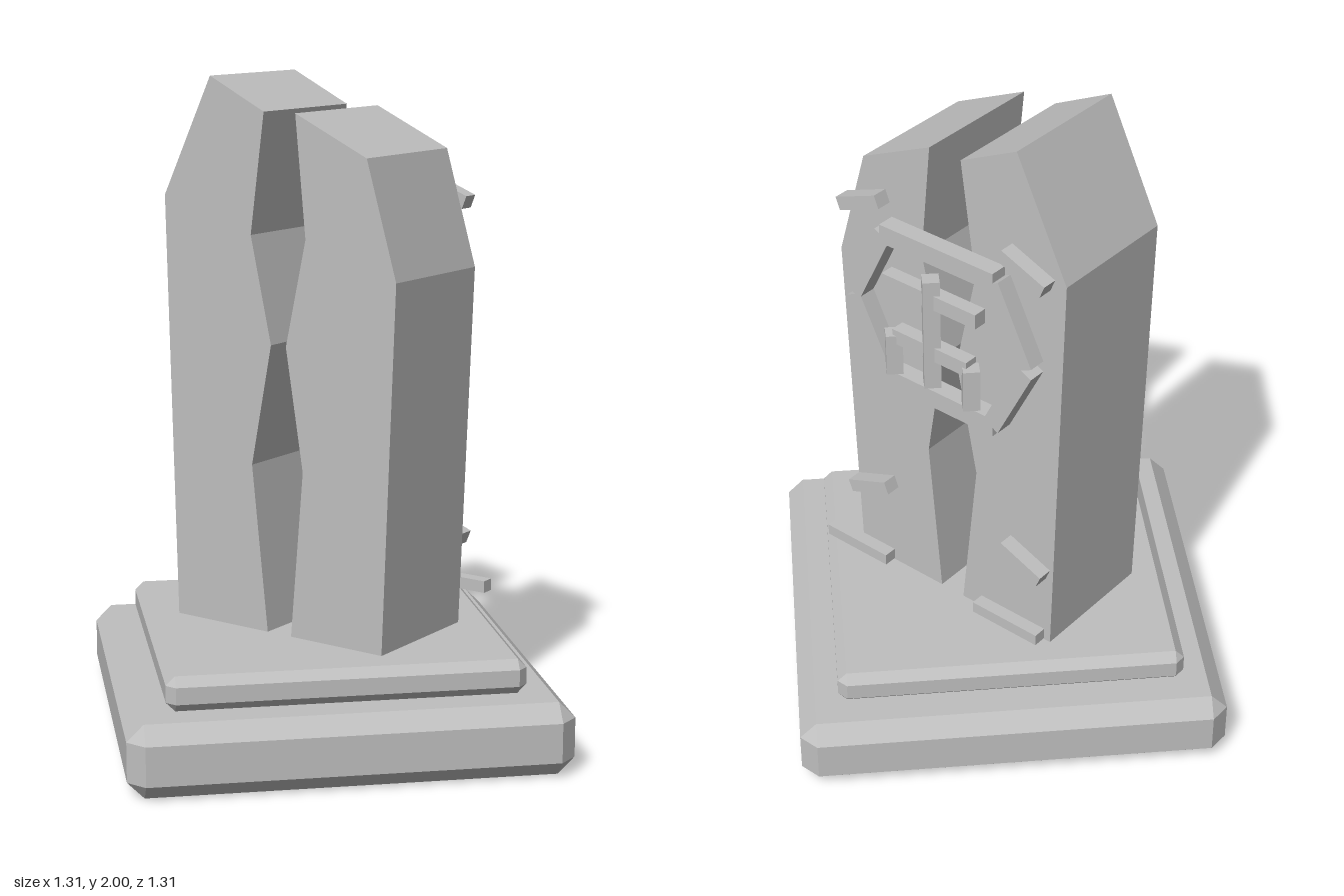
import * as THREE from 'three';
import { ConvexGeometry } from 'three/addons/geometries/ConvexGeometry.js';

export function createModel() {
  const stone = new THREE.MeshStandardMaterial({ color: 0xbfbfbf });
  stone.name = 'grey stone';
  const model = new THREE.Group();
  model.name = 'splitMonument';

  const add = (parent, name, geometry, x = 0, y = 0, z = 0) => {
    const mesh = new THREE.Mesh(geometry, stone);
    mesh.name = name;
    mesh.position.set(x, y, z);
    parent.add(mesh);
    return mesh;
  };

  // Square block with all edges chamfered
  const chamferedBlock = (half, halfHeight, c) => {
    const points = [];
    for (const sx of [-1, 1]) for (const sy of [-1, 1]) for (const sz of [-1, 1])
      for (const [a, b, d] of [[0, c, c], [c, 0, c], [c, c, 0]])
        points.push(new THREE.Vector3(sx * (half - a), sy * (halfHeight - b), sz * (half - d)));
    return new ConvexGeometry(points);
  };

  // Stepped plinth
  add(model, 'plinthBase', chamferedBlock(0.655, 0.11, 0.05), 0, 0.11, 0);
  add(model, 'plinthStep', chamferedBlock(0.532, 0.0525, 0.027), 0, 0.2725, 0);

  // Everything above the plinth is turned so the emblem faces the back corner
  const monument = new THREE.Group();
  monument.name = 'monument';
  monument.rotation.y = THREE.MathUtils.degToRad(135);
  model.add(monument);

  // Two stone halves with a jagged split between them
  const depth = 0.424;
  const slab = (name, outline) => {
    const shape = new THREE.Shape(outline.map(([x, y]) => new THREE.Vector2(x, y)));
    const geometry = new THREE.ExtrudeGeometry(shape, { depth, bevelEnabled: false });
    add(monument, name, geometry, 0, 0, -depth / 2);
  };
  slab('tallSlab', [
    [0.39, 0.31], [0.426, 1.637], [0.248, 2.0], [0.05, 1.902],
    [0.1, 1.537], [0.027, 1.213], [0.1, 0.84], [0.042, 0.31],
  ]);
  slab('shortSlab', [
    [-0.374, 0.31], [-0.418, 1.436], [-0.315, 1.785], [-0.064, 1.902],
    [-0.1, 1.537], [-0.028, 1.213], [-0.089, 0.84], [-0.043, 0.31],
  ]);

  // Hexagonal frame made of six bars
  const frame = new THREE.Group();
  frame.name = 'hexagonFrame';
  frame.position.set(0, 1.343, 0.242);
  monument.add(frame);
  for (const sy of [-1, 1]) {
    add(frame, 'frameBar', new THREE.BoxGeometry(0.42, 0.06, 0.056), 0, sy * 0.25, 0);
    for (const sx of [-1, 1]) {
      const side = add(frame, 'frameSideBar', new THREE.BoxGeometry(0.27, 0.06, 0.056),
        sx * 0.263, sy * 0.125, 0);
      side.rotation.z = Math.atan2(sy * 0.25, -sx * 0.125);
    }
  }

  // Relief bars inside the frame
  add(monument, 'upperCrossbar', new THREE.BoxGeometry(0.35, 0.048, 0.045), 0, 1.465, 0.282);
  add(monument, 'lowerCrossbar', new THREE.BoxGeometry(0.28, 0.048, 0.045), 0, 1.286, 0.282);
  const post = (name, x, bottom, top) => {
    const mesh = add(monument, name, new THREE.BoxGeometry(0.05, top - bottom, 0.05),
      x, (bottom + top) / 2, 0.291);
    mesh.rotation.y = Math.PI / 4;
  };
  post('centrePost', 0, 1.17, 1.535);

  for (const s of [-1, 1]) {
    post('sidePost', s * 0.147, 1.155, 1.29);

    // Slanted clamps above and below the frame
    for (const y of [1.656, 0.619]) {
      const clamp = add(monument, 'clamp', new THREE.BoxGeometry(0.163, 0.042, 0.05),
        s * 0.302, y, 0.236);
      clamp.rotation.z = -s * 0.38;
    }

    // Level bars standing off near the foot
    add(monument, 'footBar', new THREE.BoxGeometry(0.245, 0.037, 0.042), s * 0.3, 0.428, 0.305);
  }

  return model;
}
